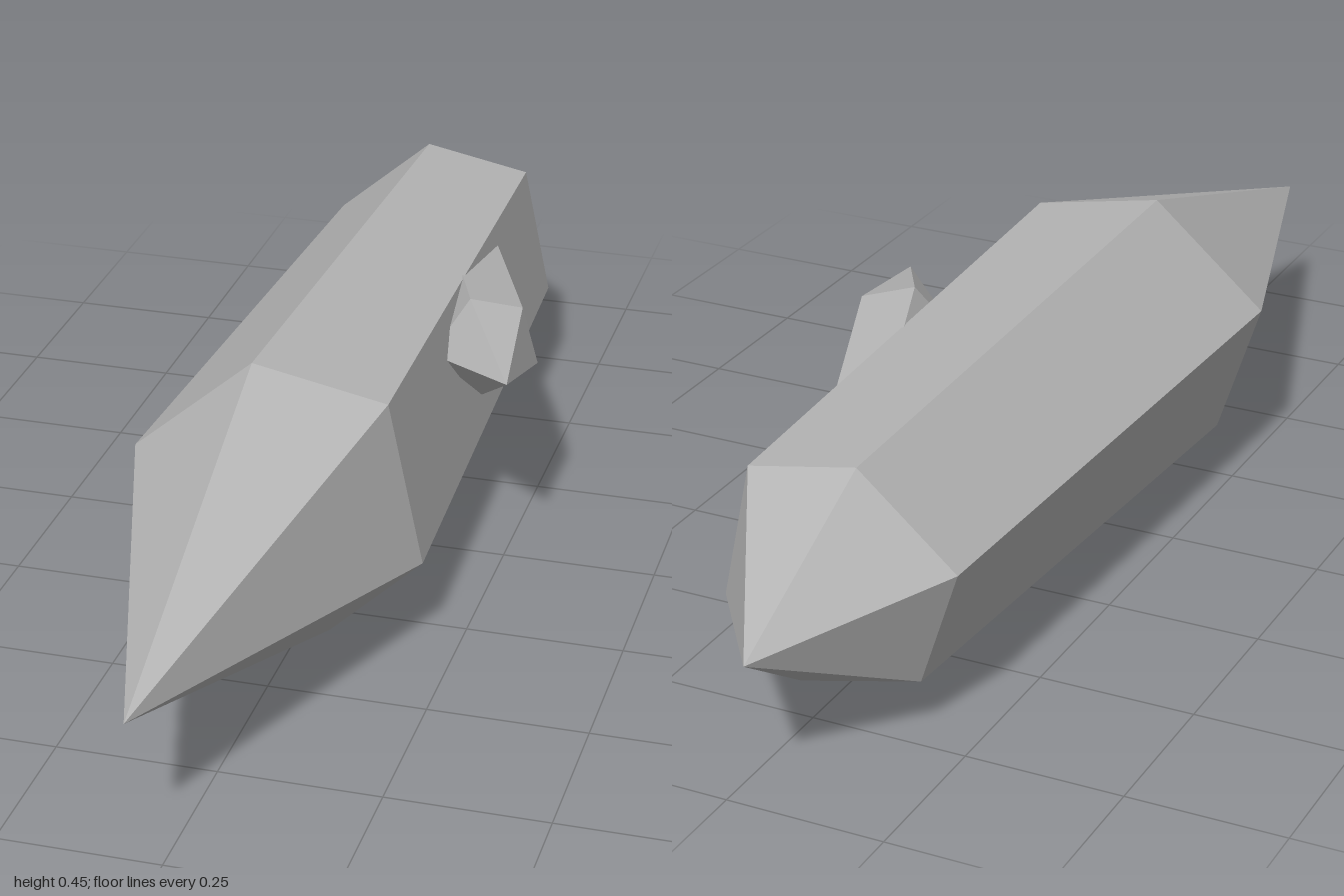
import * as THREE from 'three';

// Faceted crystal: front tip, front ring, back ring (front ring shrunk and shifted), back tip.
// The ring runs counter-clockwise as seen from the front.
function crystal(name, material, { tip, ring, centre, shift, scale, end }) {
  const c = new THREE.Vector3(...centre);
  const offset = new THREE.Vector3(...shift);
  const front = ring.map((p) => new THREE.Vector3(...p));
  const back = front.map((p) => p.clone().sub(c).multiplyScalar(scale).add(c).add(offset));
  const t = new THREE.Vector3(...tip);
  const e = new THREE.Vector3(...end);
  const points = [];
  front.forEach((p, i) => {
    const j = (i + 1) % front.length;
    points.push(t, p, front[j]); // front point
    points.push(p, back[i], back[j], p, back[j], front[j]); // side
    points.push(e, back[j], back[i]); // back point
  });
  const geometry = new THREE.BufferGeometry().setFromPoints(points);
  geometry.computeVertexNormals();
  const mesh = new THREE.Mesh(geometry, material);
  mesh.name = name;
  return mesh;
}

export function createModel() {
  const group = new THREE.Group();
  group.name = 'crystalCluster';
  const stone = new THREE.MeshStandardMaterial({ color: 0xb4b4b4, flatShading: true });
  stone.name = 'grey stone';

  // Long six-sided crystal lying along z
  group.add(crystal('mainCrystal', stone, {
    tip: [-0.05, 0.224, 1],
    ring: [[-0.078, 0.45], [-0.27, 0.285], [-0.196, 0.06], [0.044, 0.002], [0.193, 0.143], [0.137, 0.408]]
      .map(([x, y]) => [x, y, 0.31]),
    centre: [-0.045, 0.226, 0.31],
    shift: [0.006, 0, -1.03],
    scale: 0.83,
    end: [-0.037, 0.226, -1],
  }));

  // Small five-sided crystal growing out of the left side
  group.add(crystal('sideCrystal', stone, {
    tip: [0.268, 0.353, 0.085],
    ring: [[0.163, 0.407, -0.1], [0.108, 0.32, -0.06], [0.187, 0.243, -0.09], [0.268, 0.288, -0.14], [0.243, 0.388, -0.13]],
    centre: [0.194, 0.33, -0.105],
    shift: [-0.17, -0.052, -0.47],
    scale: 0.95,
    end: [-0.02, 0.26, -0.68],
  }));
  return group;
}
